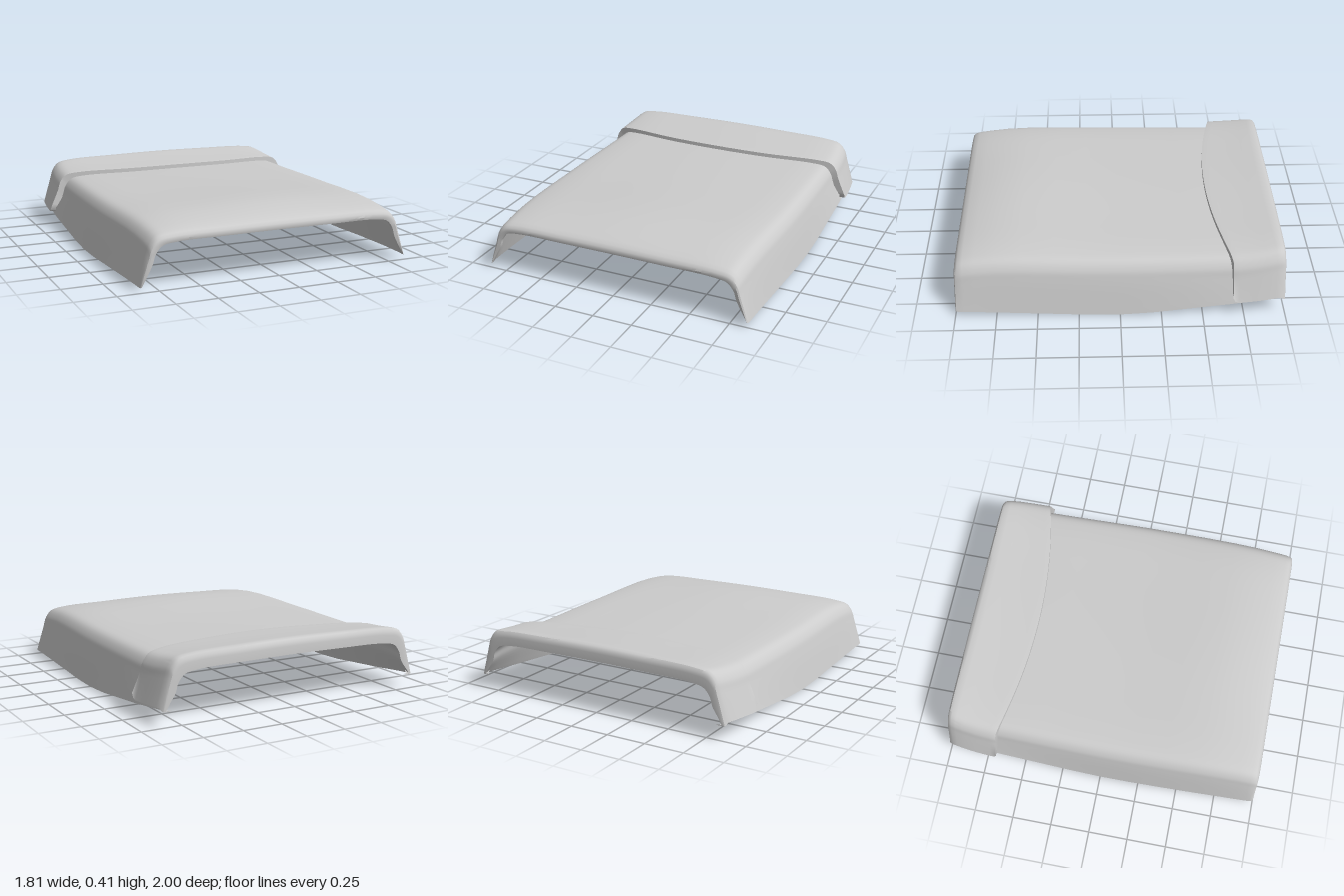
import * as THREE from 'three';
import { toCreasedNormals } from 'three/addons/utils/BufferGeometryUtils.js';

const SEGMENTS = 64;

// Upside-down U section: t top, c crown drop, w half width, b bottom,
// inset pulls in all but the lower edge, flange turns the lower edge inwards
function section({ t, c, w, b, inset = 0, flange = 0 }) {
  const u = w - inset;
  const half = [
    [0.4 * u, t - 0.25 * c],
    [u - 0.2, t - 0.8 * c],
    [u - 0.11, t - c - 0.015],
    [u - 0.07, t - c - 0.06],
    [u - 0.05, t - c - 0.12],
    [w, b],
  ];
  const right = half.map(([x, y]) => new THREE.Vector3(x, y, 0));
  const left = half.map(([x, y]) => new THREE.Vector3(-x, y, 0)).reverse();
  const points = new THREE.CatmullRomCurve3([...left, new THREE.Vector3(0, t, 0), ...right]).getPoints(SEGMENTS);
  if (flange) {
    points.unshift(new THREE.Vector3(-w + flange, b, 0));
    points.push(new THREE.Vector3(w - flange, b, 0));
  }
  return points;
}

// Skin over sections running from rear to front
function loft(stations, zAt, closed) {
  const rings = stations.map((s) => section(s).map((p) => [p.x, p.y, zAt(s, p.x)]));
  const n = rings[0].length;
  const index = [];
  const spans = closed ? rings.length : rings.length - 1;
  for (let i = 0; i < spans; i++) {
    for (let j = 0; j < n - 1; j++) {
      const a = i * n + j;
      const d = ((i + 1) % rings.length) * n + j;
      index.push(a, d, a + 1, d, d + 1, a + 1);
    }
  }
  const geometry = new THREE.BufferGeometry();
  geometry.setAttribute('position', new THREE.Float32BufferAttribute(rings.flat(2), 3));
  geometry.setIndex(index);
  return toCreasedNormals(geometry, 0.6);
}

export function createModel() {
  const group = new THREE.Group();
  const grey = new THREE.MeshStandardMaterial({ color: 0xcccccc, side: THREE.DoubleSide });
  grey.name = 'light grey';

  // Main cover: z, top, crown, half width, bottom
  const outer = [
    [-0.995, 0.345, 0.015, 0.852, 0.1],
    [-0.9, 0.355, 0.015, 0.858, 0.09],
    [-0.67, 0.362, 0.018, 0.868, 0.062],
    [-0.4, 0.362, 0.018, 0.873, 0.035],
    [-0.2, 0.364, 0.018, 0.877, 0.015],
    [0, 0.367, 0.019, 0.88, 0.005],
    [0.2, 0.373, 0.023, 0.88, 0.008],
    [0.4, 0.385, 0.03, 0.878, 0.018],
    [0.6, 0.393, 0.035, 0.874, 0.025],
    [0.75, 0.386, 0.032, 0.87, 0.03],
    [0.88, 0.364, 0.022, 0.866, 0.032],
    [0.95, 0.346, 0.014, 0.864, 0.032],
    [0.98, 0.333, 0.01, 0.862, 0.032],
    [0.995, 0.316, 0.008, 0.86, 0.034],
    [1, 0.298, 0.006, 0.855, 0.036],
  ].map(([z, t, c, w, b]) => ({ z, t, c, w, b }));
  // Front lip, then the inside surface back to the rear
  const lip = [
    { z: 0.995, t: 0.282, c: 0.005, w: 0.853, b: 0.036, inset: 0.015 },
    { z: 0.978, t: 0.284, c: 0.005, w: 0.854, b: 0.036, inset: 0.02 },
  ];
  const inner = outer.slice(0, -3).reverse()
    .map((s) => ({ ...s, t: s.t - 0.02, inset: 0.015 }));
  const cover = new THREE.Mesh(loft([...outer, ...lip, ...inner], (s) => s.z, true), grey);
  cover.name = 'cover';
  group.add(cover);

  // Raised rear band: v runs from its curved front edge (0) to the rear (1)
  const band = [
    [1, 0.325, 0.012, 0.846, 0.1],
    [1, 0.375, 0.015, 0.86, 0.095],
    [0.99, 0.398, 0.016, 0.866, 0.095],
    [0.96, 0.413, 0.017, 0.87, 0.1],
    [0.91, 0.419, 0.018, 0.876, 0.113],
    [0.82, 0.416, 0.018, 0.882, 0.114],
    [0.65, 0.408, 0.018, 0.89, 0.11],
    [0.4, 0.398, 0.018, 0.898, 0.105],
    [0.12, 0.391, 0.018, 0.903, 0.1],
    [0.04, 0.389, 0.018, 0.904, 0.11],
    [0, 0.387, 0.018, 0.904, 0.135],
    [0, 0.355, 0.02, 0.866, 0.135],
  ].map(([v, t, c, w, b]) => ({ v, t, c, w, b, flange: 0.035 }));
  const bandZ = (s, x) => {
    const front = -0.57 - 0.11 * Math.min(1, Math.abs(x) / 0.82) ** 2;
    return THREE.MathUtils.lerp(front, -1, s.v);
  };
  const rearBand = new THREE.Mesh(loft(band, bandZ, false), grey);
  rearBand.name = 'rearBand';
  group.add(rearBand);

  return group;
}
